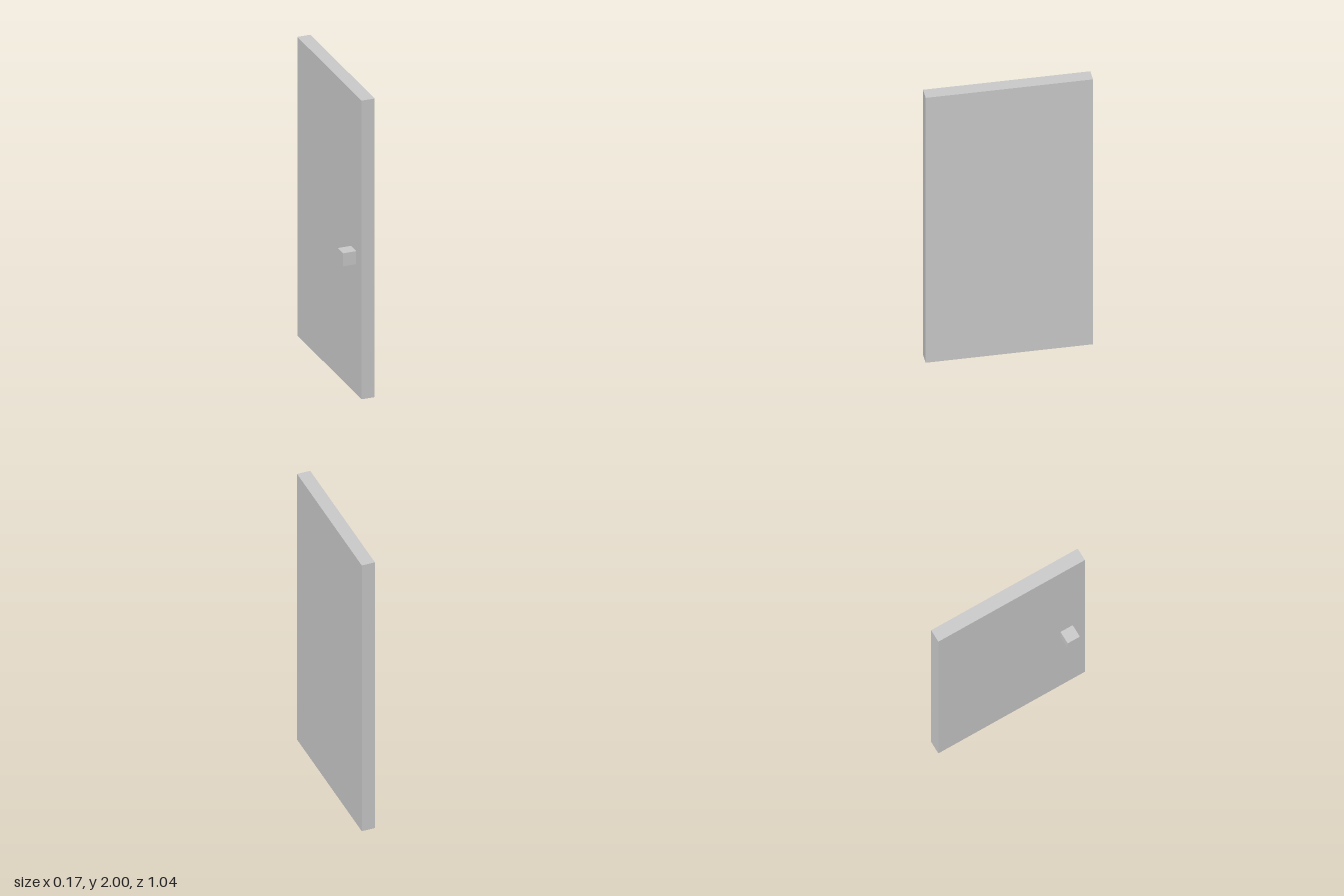
import * as THREE from 'three';

// The door is laid out on a grid of 23 units to its full height.
const U = 2 / 23;

export function createModel() {
  const model = new THREE.Group();
  model.name = 'door';
  const material = new THREE.MeshStandardMaterial({ color: 0xcccccc, flatShading: true });

  // Adds a box of the given size, centred at the given position, in grid units
  function addBox(name, size, position) {
    const mesh = new THREE.Mesh(new THREE.BoxGeometry(...size.map((s) => s * U)), material);
    mesh.position.set(...position).multiplyScalar(U);
    mesh.name = name;
    model.add(mesh);
  }

  // Tall flat door leaf
  addBox('doorPanel', [1, 23, 12], [0.5, 11.5, 0]);

  // Square knob on one face, near the front edge
  addBox('doorKnob', [1, 1, 1], [-0.5, 10.5, 4.5]);

  return model;
}
